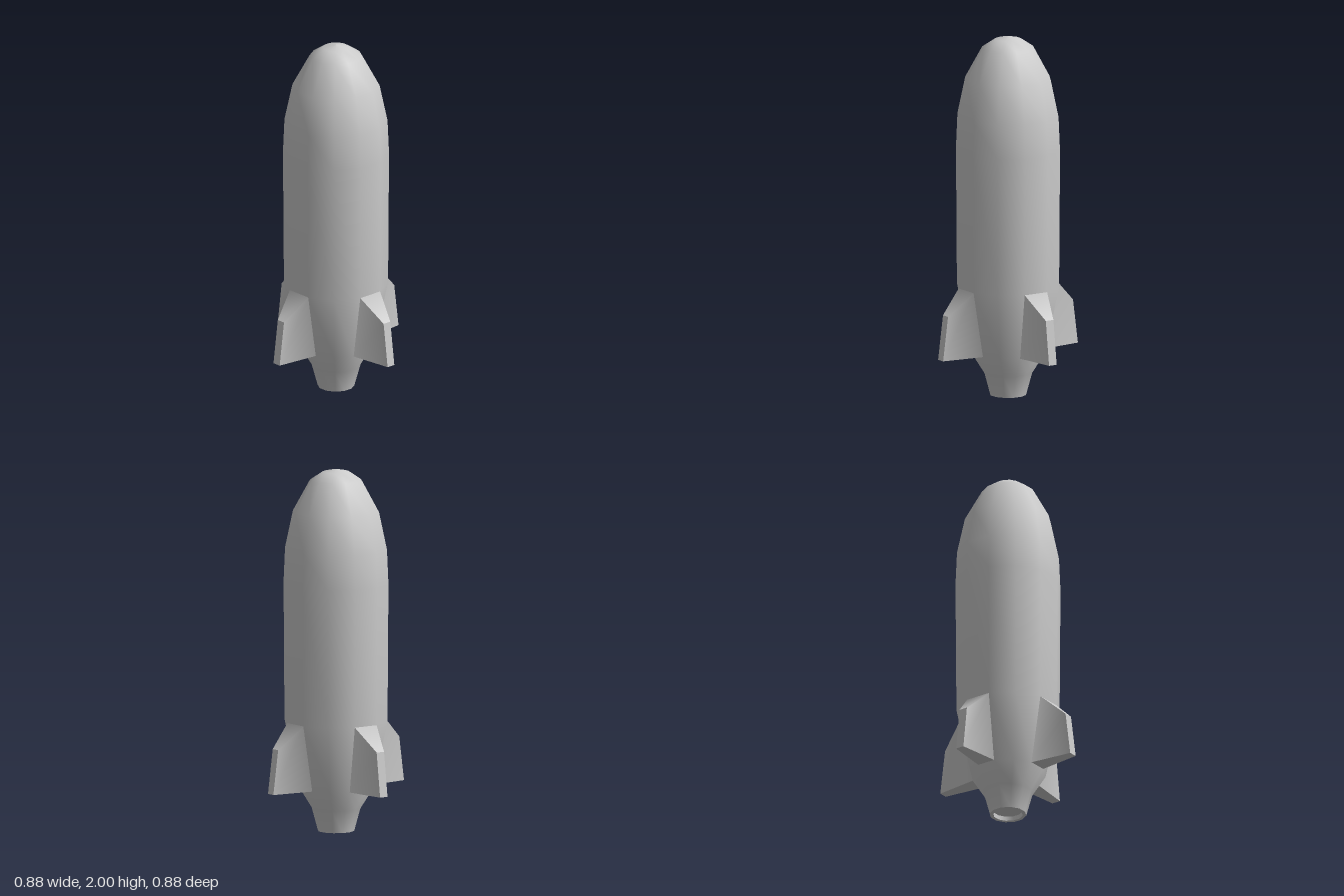
import * as THREE from 'three';

const SIDES = 12;
const HALF = Math.PI / SIDES; // half the angle of one hull facet

export function createModel() {
  const group = new THREE.Group();
  const material = new THREE.MeshStandardMaterial({ color: 0xcccccc });

  const add = (name, geometry, parent = group) => {
    const mesh = new THREE.Mesh(geometry, material);
    mesh.name = name;
    parent.add(mesh);
    return mesh;
  };

  // Twelve-sided lathe; profile radii are measured to the middle of a facet
  const turn = (profile) => new THREE.LatheGeometry(
    profile.map(([r, y]) => new THREE.Vector2(r / Math.cos(HALF), y)), SIDES, HALF);

  // Hull: nozzle, flared tail, long body and rounded nose
  add('hull', turn([
    [0.097, 0], [0.13, 0.125], [0.2, 0.24], [0.275, 0.61], [0.28, 1.37],
    [0.272, 1.56], [0.23, 1.765], [0.139, 1.937], [0.07, 1.985], [0, 2],
  ]));

  // Nozzle opening, one strip per surface so its edges stay sharp
  const nozzle = new THREE.Group();
  nozzle.name = 'nozzleOpening';
  group.add(nozzle);
  add('nozzleRim', turn([[0.078, 0], [0.097, 0]]), nozzle);
  add('nozzleWall', turn([[0.078, 0.025], [0.078, 0]]), nozzle);
  add('nozzleFloor', turn([[0, 0.025], [0.078, 0.025]]), nozzle);

  // Four tapered fins, each growing out of one hull facet
  const fin = finGeometry();
  ['frontFin', 'leftFin', 'backFin', 'rightFin'].forEach((name, i) => {
    add(name, fin).rotation.y = i * Math.PI / 2;
  });
  return group;
}

function finGeometry() {
  // Fin pointing along +z: [half width, y, z] for each pair of corners
  const pairs = {
    rootTop: [0.0737, 0.61, 0.275], rootBottom: [0.0536, 0.24, 0.2],
    tipTop: [0.025, 0.485, 0.41], tipBottom: [0.025, 0.24, 0.442],
  };
  // Faces as corners [pair, side], counter-clockwise from outside
  const faces = [
    [['tipBottom', -1], ['tipBottom', 1], ['tipTop', 1], ['tipTop', -1]],
    [['tipTop', -1], ['tipTop', 1], ['rootTop', 1], ['rootTop', -1]],
    [['rootBottom', -1], ['rootBottom', 1], ['tipBottom', 1], ['tipBottom', -1]],
    [['tipBottom', 1], ['rootBottom', 1], ['rootTop', 1], ['tipTop', 1]],
    [['rootBottom', -1], ['tipBottom', -1], ['tipTop', -1], ['rootTop', -1]],
  ];
  const positions = [], index = [];
  faces.forEach((corners, f) => {
    corners.forEach(([pair, side]) => {
      const [w, y, z] = pairs[pair];
      positions.push(side * w, y, z);
    });
    const a = f * 4;
    index.push(a, a + 1, a + 2, a, a + 2, a + 3);
  });
  const geometry = new THREE.BufferGeometry();
  geometry.setAttribute('position', new THREE.Float32BufferAttribute(positions, 3));
  geometry.setIndex(index);
  geometry.computeVertexNormals();

  // Blend the root of the top and side faces smoothly into the hull
  const normals = geometry.attributes.normal;
  const n = new THREE.Vector3();
  faces.forEach((corners, f) => corners.forEach(([pair, side], c) => {
    if (f === 2 || !pair.startsWith('root')) return;
    n.fromBufferAttribute(normals, f * 4 + c);
    n.add(new THREE.Vector3(side * Math.sin(HALF), -0.1, Math.cos(HALF))).normalize();
    normals.setXYZ(f * 4 + c, n.x, n.y, n.z);
  }));
  return geometry;
}
